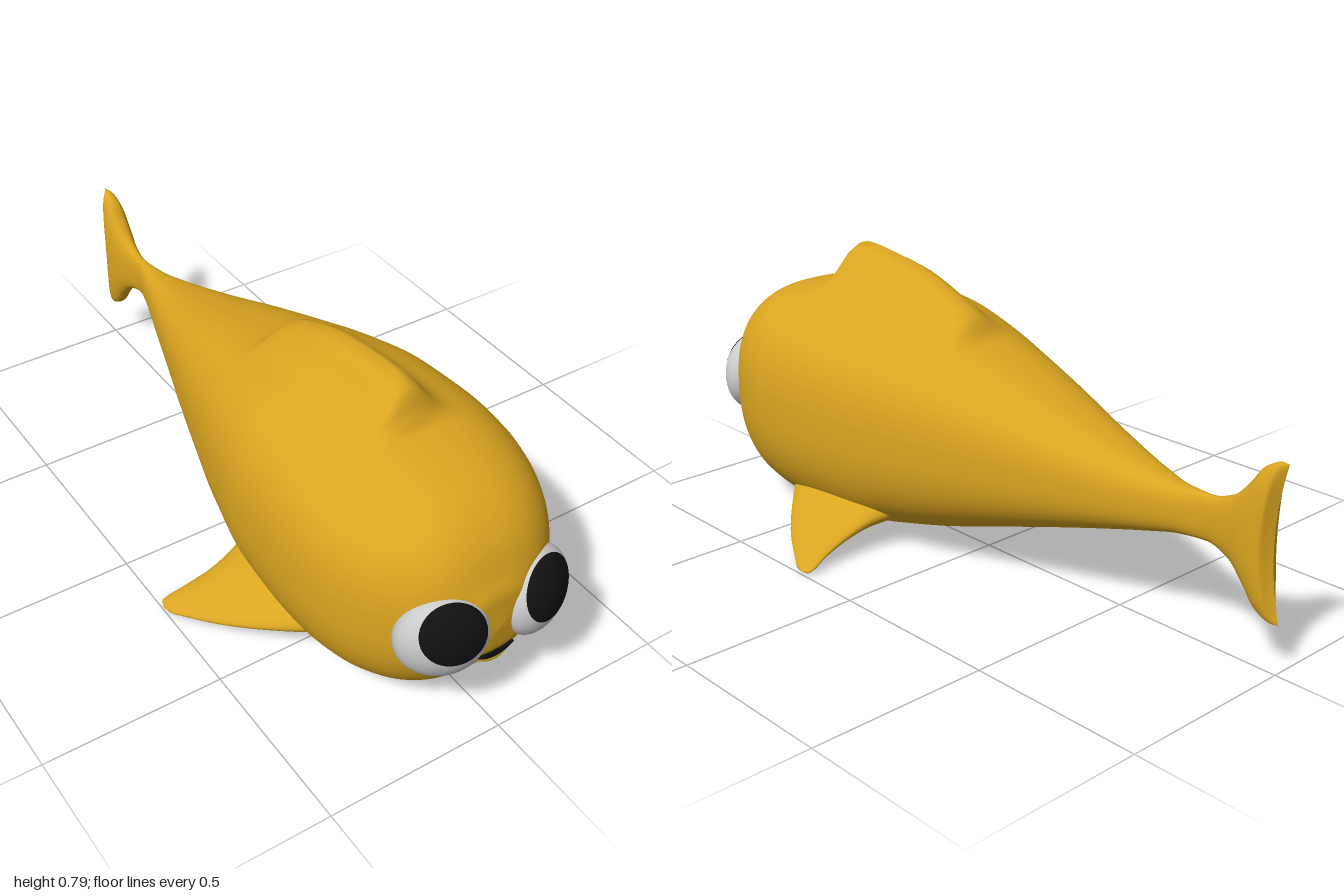
import * as THREE from 'three';

const gold = new THREE.MeshStandardMaterial({ color: 0xdaa520 });
const white = new THREE.MeshStandardMaterial({ color: 0xcccccc });
const black = new THREE.MeshStandardMaterial({ color: 0x111111 });

function addMesh(parent, name, geometry, material) {
  const mesh = new THREE.Mesh(geometry, material);
  mesh.name = name;
  parent.add(mesh);
  return mesh;
}

// Refine a table of stations with monotone cubics, column by column
function refine(table, steps) {
  const slope = (i, k) => {
    if (i === 0 || i === table.length - 1) return 0;
    const a = table[i][k] - table[i - 1][k], b = table[i + 1][k] - table[i][k];
    return a * b <= 0 ? 0 : (2 * a * b) / (a + b);
  };
  const rows = [];
  for (let i = 0; i < table.length - 1; i++) {
    for (let j = 0; j < steps; j++) {
      const t = j / steps, t2 = t * t, t3 = t2 * t;
      rows.push(table[i].map((v, k) => {
        const ends = i === 0 || i === table.length - 2;
        if (ends) return v + (table[i + 1][k] - v) * t;
        return v * (2 * t3 - 3 * t2 + 1) + table[i + 1][k] * (3 * t2 - 2 * t3)
          + slope(i, k) * (t3 - 2 * t2 + t) + slope(i + 1, k) * (t3 - t2);
      }));
    }
  }
  rows.push(table[table.length - 1]);
  return rows;
}

// Skin a surface over rows of closed rings
function loft(rows, segments, pointAt) {
  const positions = [], index = [];
  rows.forEach((row, i) => {
    for (let j = 0; j < segments; j++) {
      positions.push(...pointAt(row, (j / segments) * Math.PI * 2));
      if (i === rows.length - 1) continue;
      const a = i * segments + j, b = i * segments + ((j + 1) % segments);
      const c = a + segments, d = b + segments;
      index.push(a, c, b, b, c, d);
    }
  });
  const geometry = new THREE.BufferGeometry();
  geometry.setAttribute('position', new THREE.Float32BufferAttribute(positions, 3));
  geometry.setIndex(index);
  geometry.computeVertexNormals();
  return geometry;
}

const power = (v, e) => Math.sign(v) * Math.pow(Math.abs(v), e);

// Body, back fin and tail in one skin: z, top, bottom, half width, back fin height
const bodyStations = [
  [0.968, 0.32, 0.32, 0, 0],
  [0.96, 0.41, 0.25, 0.08, 0],
  [0.94, 0.46, 0.205, 0.13, 0],
  [0.91, 0.525, 0.155, 0.18, 0],
  [0.87, 0.575, 0.1, 0.225, 0],
  [0.8, 0.622, 0.05, 0.275, 0],
  [0.7, 0.652, 0.018, 0.317, 0],
  [0.62, 0.667, 0.008, 0.334, 0],
  [0.59, 0.67, 0.005, 0.337, 0.035],
  [0.56, 0.673, 0.003, 0.339, 0.098],
  [0.49, 0.677, 0.002, 0.341, 0.115],
  [0.3, 0.667, 0.014, 0.33, 0.099],
  [0.15, 0.64, 0.044, 0.3, 0.075],
  [0.06, 0.617, 0.066, 0.278, 0.05],
  [0, 0.6, 0.082, 0.26, 0],
  [-0.2, 0.54, 0.142, 0.2, 0],
  [-0.4, 0.475, 0.2, 0.135, 0],
  [-0.6, 0.42, 0.253, 0.07, 0],
  [-0.7, 0.403, 0.275, 0.038, 0],
  [-0.78, 0.402, 0.28, 0.02, 0],
  [-0.85, 0.425, 0.257, 0.028, 0],
  [-0.9, 0.475, 0.205, 0.038, 0],
  [-0.94, 0.525, 0.155, 0.04, 0],
  [-0.98, 0.545, 0.134, 0.033, 0],
  [-1, 0.545, 0.132, 0, 0],
];

function bodyPoint([z, top, bottom, width, fin], angle) {
  const c = Math.cos(angle), s = Math.sin(angle);
  const x = width * power(c, 0.8);
  let y = (top + bottom) / 2 + ((top - bottom) / 2) * power(s, 0.8);
  if (s > 0) y += fin * Math.exp(-((x / 0.075) ** 2));
  // Hollow the trailing edge of the tail
  const hollow = THREE.MathUtils.smoothstep(-z, 0.9, 1) * 0.028;
  return [x, y, z + hollow * Math.max(0, 1 - ((y - 0.338) / 0.207) ** 2)];
}

// Side fin: x, y, z centre, half chord, half thickness
const finStations = [
  [0.16, 0.13, 0.39, 0.25, 0.08],
  [0.25, 0.1, 0.375, 0.19, 0.06],
  [0.33, 0.071, 0.34, 0.14, 0.036],
  [0.42, 0.041, 0.28, 0.085, 0.02],
  [0.475, 0.019, 0.228, 0.043, 0.011],
  [0.492, 0.013, 0.215, 0.027, 0.007],
  [0.5, 0.01, 0.21, 0, 0],
];

function addEye(parent, side) {
  const eye = new THREE.Group();
  eye.name = side > 0 ? 'leftEye' : 'rightEye';
  eye.position.set(0.14 * side, 0.33, 0.916);
  eye.rotation.y = 0.43 * side;
  eye.scale.set(0.117, 0.117, 0.075);
  addMesh(eye, 'eyeball', new THREE.SphereGeometry(1, 40, 28), white);
  // Pupil is a cap lying on the eyeball, turned up and inwards
  const cap = new THREE.SphereGeometry(1.012, 40, 14, 0, Math.PI * 2, 0, 0.83);
  const aim = new THREE.Vector3(-0.22 * side, 0.51, 0.83).normalize();
  cap.applyQuaternion(new THREE.Quaternion().setFromUnitVectors(new THREE.Vector3(0, 1, 0), aim));
  addMesh(eye, 'pupil', cap, black);
  parent.add(eye);
}

export function createModel() {
  const model = new THREE.Group();
  model.name = 'fish';

  addMesh(model, 'body', loft(refine(bodyStations, 6), 128, bodyPoint), gold);

  for (const side of [1, -1]) {
    const fin = loft(refine(finStations, 5), 40, ([x, y, z, chord, thick], angle) => [
      x * side, y + thick * Math.sin(angle * side), z + chord * Math.cos(angle * side),
    ]);
    addMesh(model, side > 0 ? 'leftFin' : 'rightFin', fin, gold);
    addEye(model, side);
  }

  // Crescent mouth with a soft lower lip
  const smile = new THREE.Shape();
  smile.moveTo(-0.056, 0.235);
  smile.quadraticCurveTo(0, 0.225, 0.056, 0.235);
  smile.quadraticCurveTo(0, 0.194, -0.056, 0.235);
  const mouth = new THREE.ExtrudeGeometry(smile, { depth: 0.06, bevelEnabled: false, curveSegments: 16 });
  addMesh(model, 'mouth', mouth, black).position.z = 0.9;

  const lipPath = new THREE.QuadraticBezierCurve3(
    new THREE.Vector3(-0.062, 0.232, 0.938),
    new THREE.Vector3(0, 0.186, 0.966),
    new THREE.Vector3(0.062, 0.232, 0.938));
  addMesh(model, 'lowerLip', new THREE.TubeGeometry(lipPath, 24, 0.009, 10), gold);

  return model;
}
